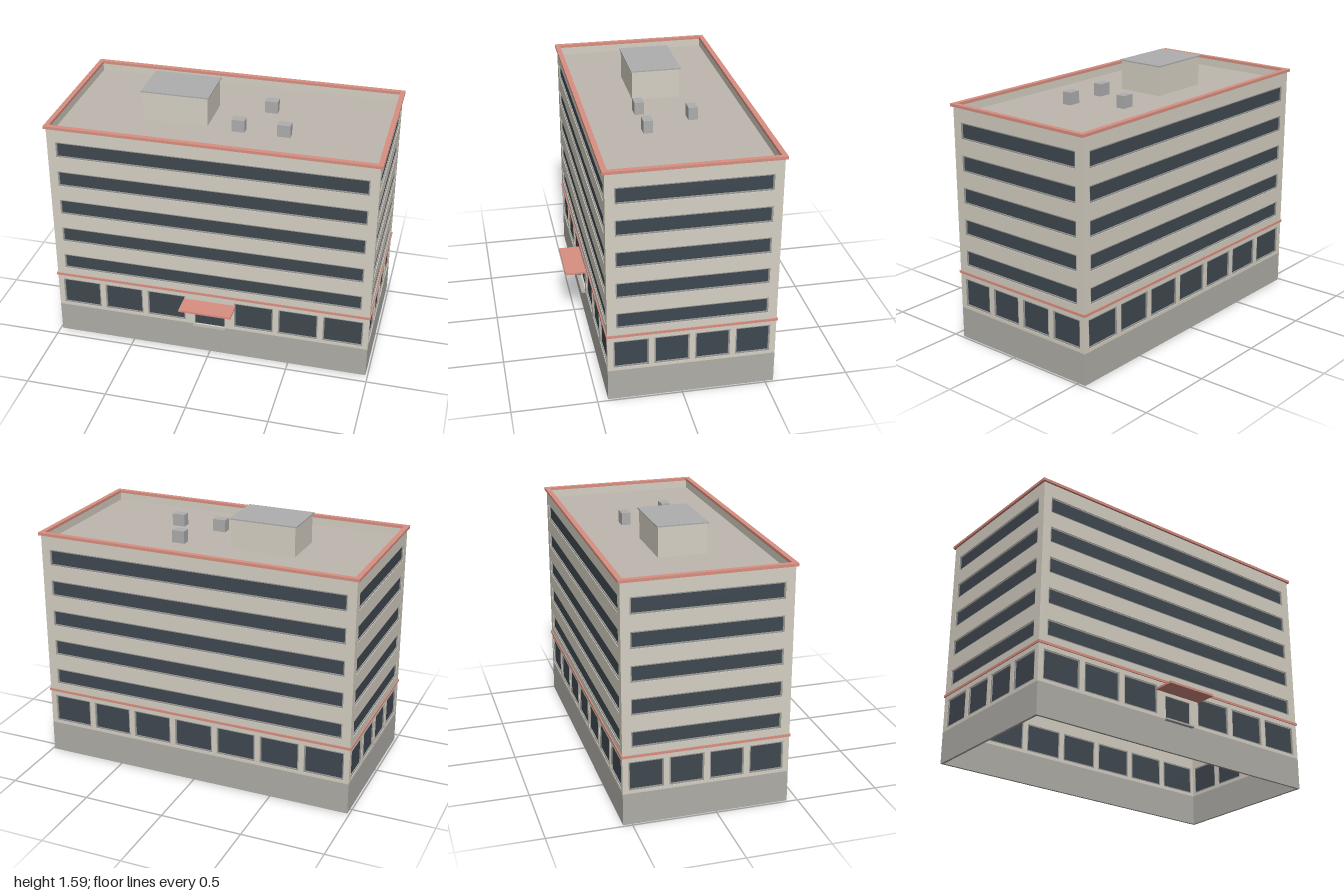
import * as THREE from 'three';

const mat = (color) => new THREE.MeshStandardMaterial({ color, side: THREE.DoubleSide });
const M = {
  wall: mat(0xd6d0c3), base: mat(0xb0aea8), glass: mat(0x3f4850), frame: mat(0x9a9b98),
  trim: mat(0xd98f82), roof: mat(0xbdb7af), metal: mat(0xaeaeae),
};
const W = 0.987, D = 0.4945, CZ = -0.0575, T = 0.015; // half width, half depth, centre z, wall thickness
const BASE = 0.195, TOP = 1.448;

function add(parent, name, geometry, material, x = 0, y = 0, z = 0) {
  const mesh = new THREE.Mesh(geometry, material);
  mesh.name = name;
  mesh.position.set(x, y, z);
  parent.add(mesh);
  return mesh;
}

// box given by its min and max corners
function block(parent, name, material, [x0, y0, z0], [x1, y1, z1]) {
  return add(parent, name, new THREE.BoxGeometry(x1 - x0, y1 - y0, z1 - z0), material,
    (x0 + x1) / 2, (y0 + y1) / 2, (z0 + z1) / 2);
}

const rectPoints = (x0, y0, x1, y1) => [
  new THREE.Vector2(x0, y0), new THREE.Vector2(x1, y0),
  new THREE.Vector2(x1, y1), new THREE.Vector2(x0, y1)];

// flat plate with rectangular holes
function plate(rect, holes, depth) {
  const shape = new THREE.Shape(rectPoints(...rect));
  holes.forEach((h) => shape.holes.push(new THREE.Path(rectPoints(...h).reverse())));
  return new THREE.ExtrudeGeometry(shape, { depth, bevelEnabled: false });
}

// horizontal rectangular band around the building
function band(parent, name, outX, outZ, inX, inZ, y, height) {
  const g = plate([-outX, -outZ, outX, outZ], [[-inX, -inZ, inX, inZ]], height).rotateX(-Math.PI / 2);
  add(parent, name, g, M.trim, 0, y, CZ);
}

// one facade, its outer face on local z = 0
function facade(name, half, stripHalf, bays, pitch, bayWidth, hasDoor, trimEnds) {
  const group = new THREE.Group();
  group.name = name;
  const end = half - (trimEnds ? T : 0);
  const openings = [];
  for (let i = 0; i < 5; i++) {
    const y = 0.478 + i * 0.196;
    openings.push([-stripHalf, y, stripHalf, y + 0.1]);
  }
  for (let i = 0; i < bays; i++) {
    const x = (i - (bays - 1) / 2) * pitch;
    if (hasDoor && i === (bays - 1) / 2) continue;
    openings.push([x - bayWidth / 2, 0.214, x + bayWidth / 2, 0.392]);
  }
  const door = [-0.094, BASE + 0.002, 0.094, 0.341];
  const holes = hasDoor ? [...openings, door] : openings;
  add(group, 'wall', plate([-end, BASE, end, TOP], holes, T), M.wall, 0, 0, -T);
  block(group, 'plinth', M.base, [-end, 0, -T], [end, BASE, 0]);

  // recessed frames and glazing
  const f = 0.008;
  openings.forEach(([x0, y0, x1, y1]) => {
    const inner = [x0 + f, y0 + f, x1 - f, y1 - f];
    add(group, 'windowFrame', plate([x0, y0, x1, y1], [inner], 0.009), M.frame, 0, 0, -0.013);
    block(group, 'windowGlass', M.glass, [x0 + f, y0 + f, -0.013], [x1 - f, y1 - f, -0.011]);
  });
  if (hasDoor) block(group, 'door', M.glass, [door[0], door[1], -0.014], [door[2], door[3], -0.011]);
  return group;
}

export function createModel() {
  const model = new THREE.Group();
  model.name = 'officeBuilding';

  // four facades
  for (const s of [1, -1]) {
    const long = facade(s > 0 ? 'frontFacade' : 'backFacade', W, 0.934, 7, 0.277, 0.244, s > 0, false);
    long.position.z = CZ + s * D;
    long.rotation.y = s > 0 ? 0 : Math.PI;
    const side = facade(s > 0 ? 'leftFacade' : 'rightFacade', D, 0.441, 4, 0.238, 0.204, false, true);
    side.position.set(s * W, 0, CZ);
    side.rotation.y = s * Math.PI / 2;
    model.add(long, side);
  }

  // red bands
  band(model, 'parapetCap', 1, 0.5075, 0.97, 0.4765, TOP, 0.017);
  band(model, 'storeyBand', 0.993, 0.5005, W - 0.005, D - 0.005, 0.42, 0.015);

  // sunken roof
  block(model, 'roof', M.roof, [-W + T, 1.385, CZ - D + T], [W - T, 1.4, CZ + D - T]);

  // entrance
  const front = CZ + D;
  block(model, 'canopy', M.trim, [-0.163, 0.362, front - 0.005], [0.163, 0.375, 0.565]);
  block(model, 'doorstep', M.base, [-0.105, 0.185, front - 0.005], [0.105, 0.195, 0.462]);

  // rooftop plant room and vents
  block(model, 'plantRoom', M.wall, [-0.498, 1.4, -0.203], [-0.098, 1.58, 0.088]);
  block(model, 'plantRoomCap', M.metal, [-0.507, 1.58, -0.211], [-0.09, 1.588, 0.095]);
  for (const [x, z] of [[0.095, 0.088], [0.371, 0.088], [0.232, -0.208]])
    block(model, 'roofVent', M.metal, [x - 0.04, 1.4, z - 0.028], [x + 0.04, 1.476, z + 0.028]);

  return model;
}
